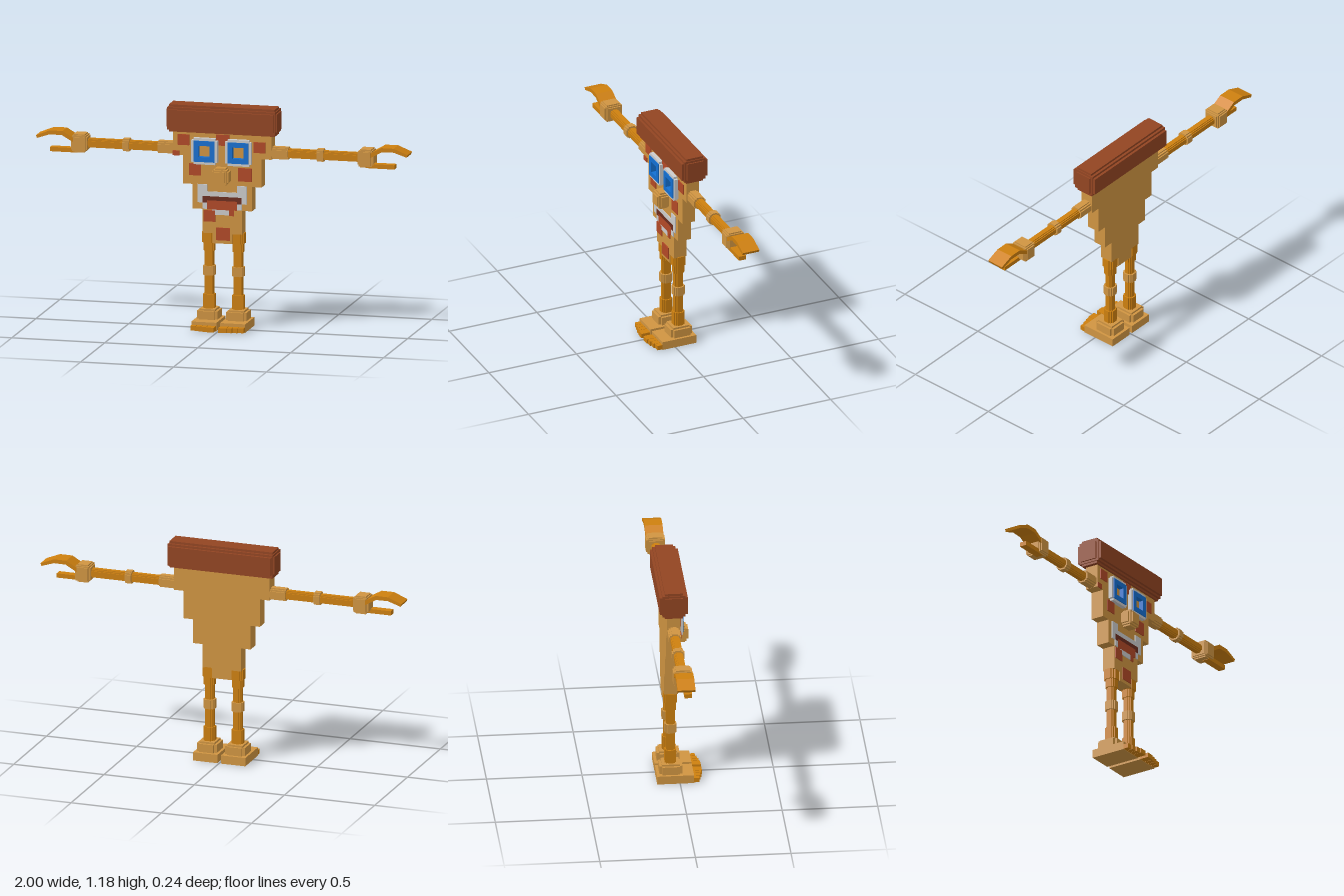
import * as THREE from 'three';

const mat = (name, color) => Object.assign(new THREE.MeshStandardMaterial({ color }), { name });

export function createModel() {
  const tan = mat('tan', 0xd09542), orange = mat('dark orange', 0xce800f), brown = mat('crust brown', 0x934522);
  const red = mat('brick red', 0xb34926), white = mat('light grey', 0xcccccc), blue = mat('blue', 0x1470d2);
  const dark = mat('dark brown', 0x6c2c1c);
  const model = new THREE.Group();
  model.name = 'character';
  const Z = -0.046; // depth of the body's middle plane

  const add = (parent, name, geo, material) => {
    const m = new THREE.Mesh(geo, material);
    m.name = name;
    parent.add(m);
    return m;
  };
  const group = (name, parent = model) => {
    const g = new THREE.Group();
    g.name = name;
    parent.add(g);
    return g;
  };
  // Box given by its two extreme corners
  const box = (parent, name, material, x0, x1, y0, y1, z0, z1) =>
    add(parent, name, new THREE.BoxGeometry(x1 - x0, y1 - y0, z1 - z0), material)
      .position.set((x0 + x1) / 2, (y0 + y1) / 2, (z0 + z1) / 2);
  // Union of boxes from a centre and a list of half sizes
  const boxes = (parent, name, material, [x, y, z], sizes) => {
    const g = group(name, parent);
    sizes.forEach(([a, b, c]) => box(g, name, material, x - a, x + a, y - b, y + b, z - c, z + c));
  };
  // Box with stepped edges on all sides
  const stepped = (parent, name, material, c, [a, b, d], s) =>
    boxes(parent, name, material, c, [[a, b - s, d - s], [a - s, b, d - s], [a - s, b - s, d],
      [a - s / 2, b - s / 2, d - s / 2]]);
  // Rod with a stepped round section, along x or y
  const rod = (parent, name, material, axis, from, to, u, r) => {
    const h = (to - from) / 2, m = (to + from) / 2, k = r * 0.5, d = r * 0.8;
    const section = [[r, k], [k, r], [d, d]];
    boxes(parent, name, material, axis === 'x' ? [m, u, Z] : [u, m, Z],
      section.map(([p, q]) => (axis === 'x' ? [h, p, q] : [p, h, q])));
  };
  const shapeOf = (pts) => new THREE.Shape(pts.map(([x, y]) => new THREE.Vector2(x, y)));
  const extrude = (shape, depth) => new THREE.ExtrudeGeometry(shape, { depth, bevelEnabled: false });

  // Body: a flat slab narrowing in steps
  const half = [[0.265, 1.06], [0.265, 0.91], [0.212, 0.91], [0.212, 0.76], [0.16, 0.76], [0.16, 0.63],
    [0.107, 0.63], [0.107, 0.503], [0.053, 0.503], [0.053, 0.45]];
  const outline = [...half.map(([x, y]) => [-x, y]), ...half.slice().reverse()];
  add(model, 'body', extrude(shapeOf(outline), 0.072), tan).position.z = -0.081;

  // Crust on top
  boxes(model, 'crust', brown, [0, 1.107, Z], [[0.285, 0.072, 0.047], [0.29, 0.06, 0.06],
    [0.285, 0.048, 0.073], [0.297, 0.048, 0.047]]);

  // Painted plates on the face
  const plate = (name, material, x0, x1, y0, y1, z = -0.004) =>
    box(model, name, material, x0, x1, y0, y1, -0.0095, z);
  [[-0.24, -0.177, 0.965, 1.022], [-0.265, -0.23, 0.908, 0.934], [-0.177, -0.113, 0.807, 0.87],
    [-0.032, 0.038, 0.998, 1.03], [-0.018, 0.022, 0.972, 0.998], [0.17, 0.232, 0.943, 1.0],
    [0.085, 0.16, 0.787, 0.858], [-0.1, -0.037, 0.565, 0.625], [-0.032, 0.042, 0.468, 0.535],
    [0.037, 0.064, 0.6, 0.63]].forEach((s) => plate('spot', red, ...s));

  // Mouth
  for (const s of [-1, 1]) {
    const side = (name, m, a, b, y0, y1) => plate(name, m, Math.min(s * a, s * b), Math.max(s * a, s * b), y0, y1);
    side('mouthCornerTop', white, 0.08, 0.132, 0.725, 0.762);
    side('mouthCornerSide', white, 0.106, 0.132, 0.665, 0.725);
    side('mouthCornerLow', white, 0.08, 0.106, 0.632, 0.665);
    side('mouthEdge', dark, 0.08, 0.106, 0.665, 0.7);
  }
  plate('teeth', white, -0.106, 0.106, 0.7, 0.725);
  plate('mouthInside', dark, -0.08, 0.08, 0.678, 0.7);
  plate('tongue', red, -0.08, 0.08, 0.63, 0.678);
  plate('chin', white, -0.053, 0.037, 0.603, 0.63);

  // Nose
  stepped(model, 'nose', tan, [0, 0.813, 0.012], [0.046, 0.046, 0.041], 0.018);

  // Eyes: a white rim with notched corners around a blue square frame
  const square = (r) => [[-r, -r], [r, -r], [r, r], [-r, r]];
  const ring = (pts, r, depth) => {
    const s = shapeOf(pts);
    s.holes.push(shapeOf(square(r)));
    return extrude(s, depth);
  };
  const R = 0.07, N = 0.058;
  const rim = [[-N, -R], [N, -R], [N, -N], [R, -N], [R, N], [N, N], [N, R], [-N, R], [-N, N], [-R, N], [-R, -N], [-N, -N]];
  for (const s of [-1, 1]) {
    const eye = group(s > 0 ? 'leftEye' : 'rightEye');
    eye.position.set(s * 0.091, 0.94, -0.01);
    add(eye, 'eyeRim', ring(rim, 0.054, 0.023), white);
    add(eye, 'iris', ring(square(0.056), 0.03, 0.028), blue);
  }

  for (const s of [-1, 1]) {
    const sideName = s > 0 ? 'left' : 'right';
    const mx = (a, b) => (s > 0 ? [a, b] : [-b, -a]);

    // Arm
    const arm = group(sideName + 'Arm'), y = 0.943;
    rod(arm, 'shoulder', tan, 'x', ...mx(0.25, 0.35), y, 0.032);
    rod(arm, 'armRod', orange, 'x', ...mx(0.35, 0.74), y, 0.024);
    rod(arm, 'elbow', tan, 'x', ...mx(0.505, 0.54), y, 0.033);
    stepped(arm, 'wrist', tan, [s * 0.77, y, Z], [0.043, 0.048, 0.05], 0.014);

    // Hand: an arched plate of fingers and a straight thumb
    const fingers = [[0.785, 0.965], [0.8, 0.95], [0.86, 0.984], [0.925, 0.985], [0.994, 0.962],
      [1, 0.976], [0.925, 1.006], [0.857, 1.006]].map(([x, v]) => [s * x, v]);
    add(arm, 'fingers', extrude(shapeOf(fingers), 0.094), orange).position.z = -0.093;
    box(arm, 'thumb', orange, ...mx(0.77, 0.926), 0.893, 0.916, -0.05, -0.01);

    // Leg
    const leg = group(sideName + 'Leg'), x = s * 0.078;
    rod(leg, 'legRod', orange, 'y', 0.09, 0.5, x, 0.023);
    rod(leg, 'upperSleeve', orange, 'y', 0.45, 0.506, x, 0.035);
    rod(leg, 'lowerSleeve', orange, 'y', 0.405, 0.45, x, 0.029);
    rod(leg, 'knee', tan, 'y', 0.275, 0.325, x, 0.031);
    rod(leg, 'ankleSleeve', orange, 'y', 0.095, 0.175, x, 0.03);
    boxes(leg, 'ankle', tan, [x, 0.068, Z], [[0.055, 0.022, 0.046], [0.04, 0.022, 0.06], [0.042, 0.032, 0.047]]);

    // Foot with four toes, longest on the inside
    box(leg, 'foot', tan, ...mx(0.01, 0.145), 0, 0.045, -0.12, 0.073);
    [[0.012, 0.054, 0.122], [0.056, 0.083, 0.116], [0.085, 0.112, 0.109], [0.114, 0.143, 0.102]].forEach(([a, b, z]) =>
      box(leg, 'toe', orange, ...mx(a, b), 0.003, 0.028, 0.07, z));
  }
  return model;
}
